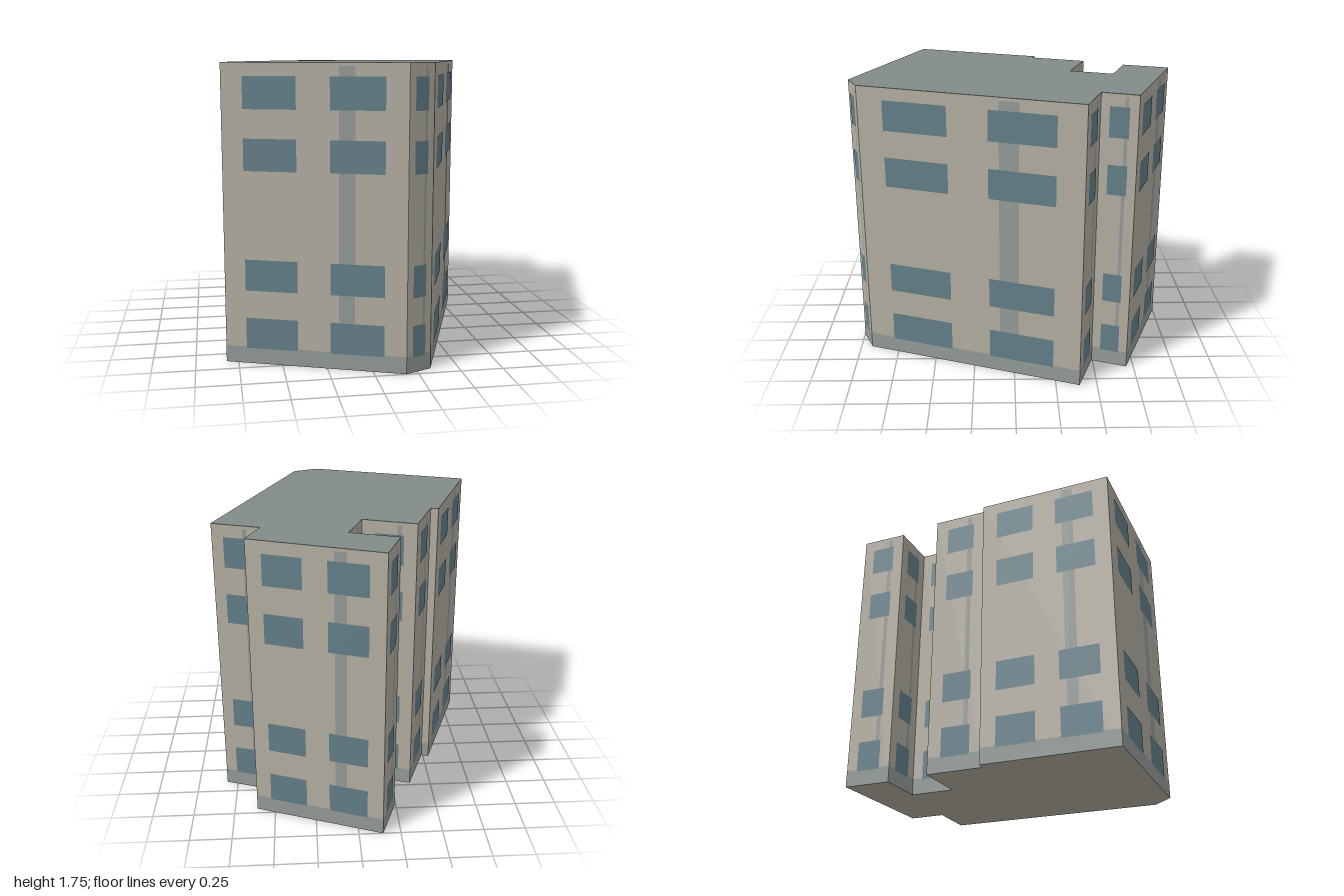
import * as THREE from 'three';

const HEIGHT = 1.745;
const ROOF = 0.004;
const BAND = 0.1;

// Footprint corners as [x, z], walked so that each wall faces outward
const FOOTPRINT = [
  [-0.82, 0.625], [0.18, 0.997], [0.336, 0.928], [0.818, -0.393], [0.533, -0.494],
  [0.611, -0.704], [-0.143, -1], [-0.24, -0.725], [0.04, -0.622], [-0.055, -0.363],
  [-0.367, -0.477], [-0.49, -0.142], [-0.535, -0.157],
];

// Window rows as [bottom, top]
const ROWS = [[0.092, 0.275], [0.438, 0.622], [1.136, 1.32], [1.485, 1.669]];

const mat = (color) => new THREE.MeshStandardMaterial({ color, roughness: 0.9, flatShading: true });

export function createModel() {
  const model = new THREE.Group();
  model.name = 'building';
  const wallMat = mat(0xb5b0a4);
  const trimMat = mat(0x959c9a);
  const glassMat = mat(0x65808a);
  const roofMat = mat(0x838c88);

  const shape = new THREE.Shape(FOOTPRINT.map(([x, z]) => new THREE.Vector2(x, -z)));
  const slab = (name, y0, y1, material) => {
    const geo = new THREE.ExtrudeGeometry(shape, { depth: y1 - y0, bevelEnabled: false });
    geo.rotateX(-Math.PI / 2);
    const mesh = new THREE.Mesh(geo, material);
    mesh.name = name;
    mesh.position.y = y0;
    model.add(mesh);
  };
  slab('walls', 0, HEIGHT - ROOF, wallMat);
  slab('roof', HEIGHT - ROOF, HEIGHT, roofMat);

  // Flush panels on each wall: base band, downpipe strip and windows
  FOOTPRINT.forEach(([x0, z0], i) => {
    const [x1, z1] = FOOTPRINT[(i + 1) % FOOTPRINT.length];
    const dx = x1 - x0, dz = z1 - z0;
    const length = Math.hypot(dx, dz);
    const facade = new THREE.Group();
    facade.name = 'facade';
    facade.position.set((x0 + x1) / 2, 0, (z0 + z1) / 2);
    facade.rotation.y = Math.atan2(-dz, dx);
    model.add(facade);

    // t runs from 0 to 1 along the wall, left to right from outside
    const panel = (name, t0, t1, y0, y1, offset, material) => {
      const mesh = new THREE.Mesh(new THREE.PlaneGeometry((t1 - t0) * length, y1 - y0), material);
      mesh.name = name;
      mesh.position.set(((t0 + t1) / 2 - 0.5) * length, (y0 + y1) / 2, offset);
      facade.add(mesh);
    };

    panel('baseBand', 0, 1, 0, BAND, 0.001, trimMat);
    if (length < 0.1) return;
    panel('downpipe', 0.635, 0.722, BAND, 1.725, 0.001, trimMat);
    const columns = length > 0.5 ? [[0.118, 0.408], [0.588, 0.88]] : [[0.24, 0.76]];
    for (const [y0, y1] of ROWS) {
      for (const [t0, t1] of columns) panel('window', t0, t1, y0, y1, 0.002, glassMat);
    }
  });

  return model;
}
